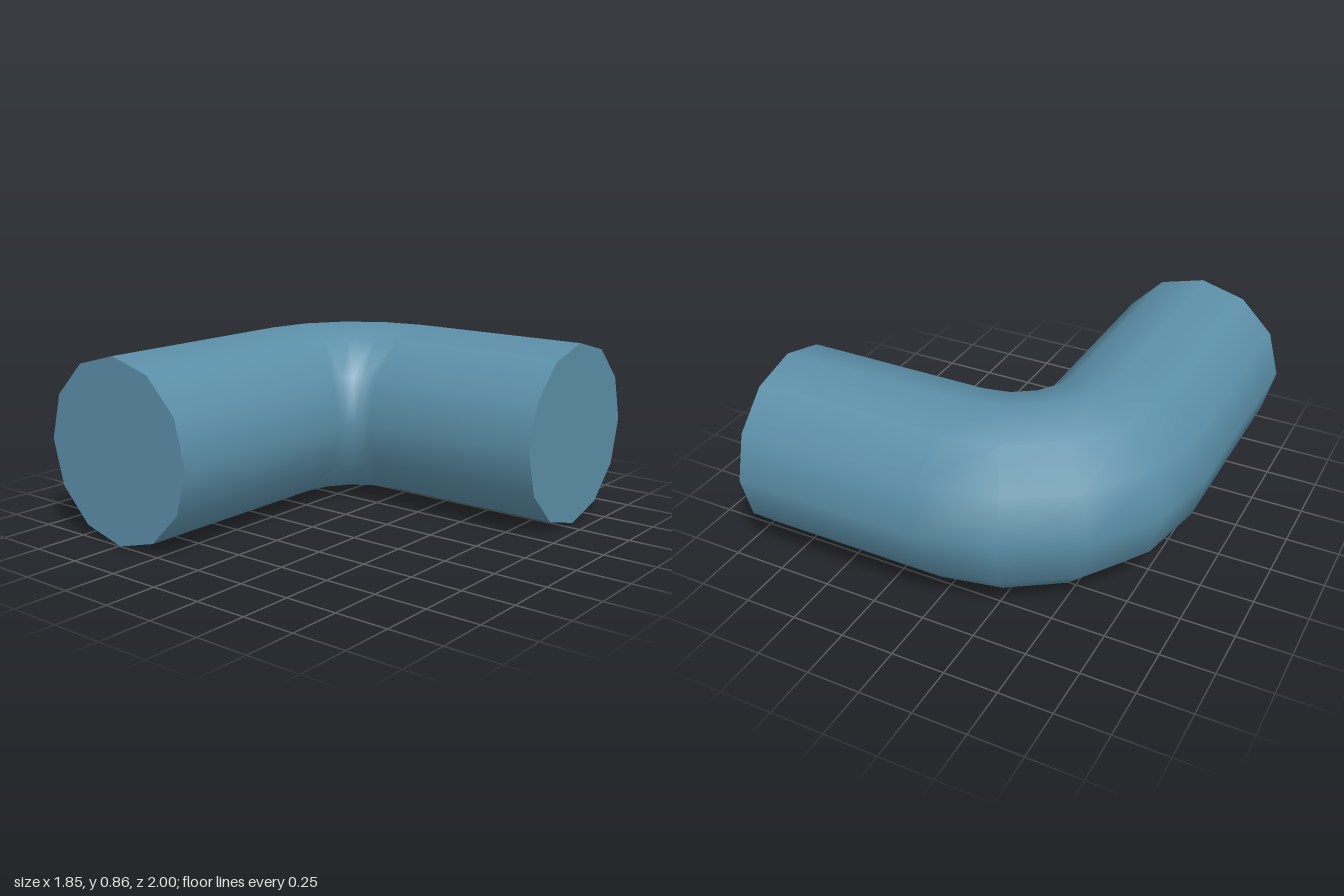
import * as THREE from 'three';

const RADIUS = 0.432;
const SIDES = 12;
const BEND_STEPS = 4;
const BEND_RADIUS = 0.527;
const BEND_CENTRE = new THREE.Vector3(0.035, RADIUS, -0.041);
const FRONT_END = new THREE.Vector3(-0.492, RADIUS, 1);
const SIDE_END = new THREE.Vector3(0.924, RADIUS, -0.568);

// Cross-section stations: a straight end, the quarter bend, a straight end
function stations() {
  const bend = [];
  for (let i = 0; i <= BEND_STEPS; i++) {
    const t = (i / BEND_STEPS) * Math.PI / 2;
    const out = new THREE.Vector3(-Math.cos(t), 0, -Math.sin(t));
    bend.push({ centre: BEND_CENTRE.clone().addScaledVector(out, BEND_RADIUS), out });
  }
  return [
    { centre: FRONT_END, out: bend[0].out },
    ...bend,
    { centre: SIDE_END, out: bend[BEND_STEPS].out },
  ];
}

// Pipe wall with smooth radial normals
function pipeWall() {
  const positions = [], normals = [], index = [];
  const rings = stations();
  rings.forEach(({ centre, out }, j) => {
    for (let i = 0; i < SIDES; i++) {
      const a = (i / SIDES) * Math.PI * 2;
      const n = out.clone().multiplyScalar(Math.cos(a));
      n.y = Math.sin(a);
      const p = centre.clone().addScaledVector(n, RADIUS);
      positions.push(p.x, p.y, p.z);
      normals.push(n.x, n.y, n.z);
      if (j === rings.length - 1) continue;
      const p0 = j * SIDES + i, p1 = j * SIDES + (i + 1) % SIDES;
      index.push(p0, p1, p0 + SIDES, p1, p1 + SIDES, p0 + SIDES);
    }
  });
  const geometry = new THREE.BufferGeometry();
  geometry.setAttribute('position', new THREE.Float32BufferAttribute(positions, 3));
  geometry.setAttribute('normal', new THREE.Float32BufferAttribute(normals, 3));
  geometry.setIndex(index);
  return geometry;
}

export function createModel() {
  const group = new THREE.Group();
  group.name = 'pipeElbow';
  const material = new THREE.MeshStandardMaterial({ color: 0x5b8fa8 });

  const add = (name, geometry) => {
    const mesh = new THREE.Mesh(geometry, material);
    mesh.name = name;
    group.add(mesh);
    return mesh;
  };

  add('pipeWall', pipeWall());

  // Flat caps closing both ends
  const capGeometry = new THREE.CircleGeometry(RADIUS, SIDES);
  add('frontCap', capGeometry).position.copy(FRONT_END);
  const sideCap = add('sideCap', capGeometry);
  sideCap.position.copy(SIDE_END);
  sideCap.rotation.y = Math.PI / 2;

  return group;
}
